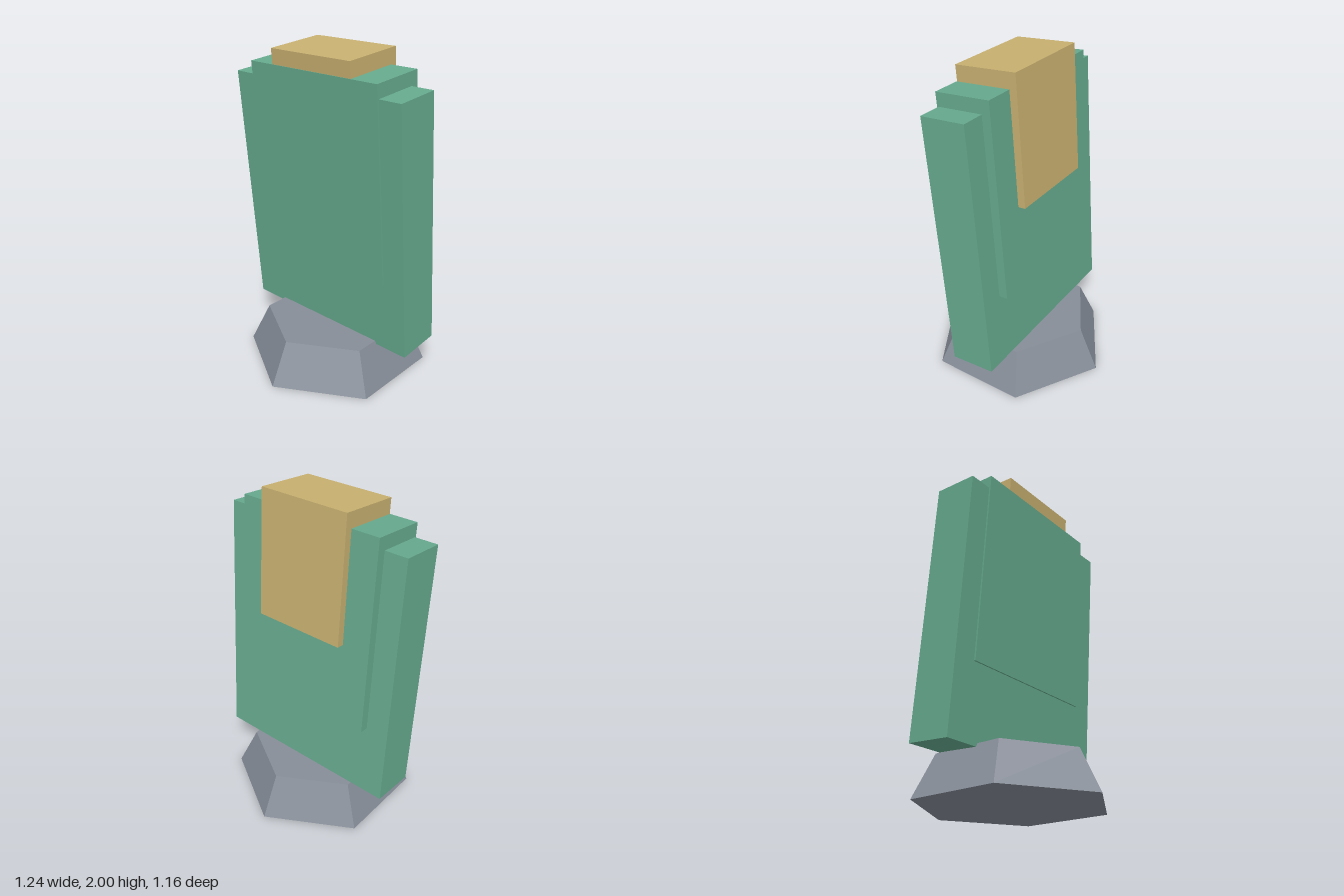
import * as THREE from 'three';

const green = new THREE.MeshStandardMaterial({ name: 'green', color: 0x66aa8e });
const gold = new THREE.MeshStandardMaterial({ name: 'gold', color: 0xc8b070 });
const grey = new THREE.MeshStandardMaterial({ name: 'grey', color: 0x868d98 });
grey.flatShading = true;

// Box given by its width and its y and z limits, centred on x
function slab(name, material, width, y0, y1, z0, z1) {
  const mesh = new THREE.Mesh(new THREE.BoxGeometry(width, y1 - y0, z1 - z0), material);
  mesh.position.set(0, (y0 + y1) / 2, (z0 + z1) / 2);
  mesh.name = name;
  return mesh;
}

export function createModel() {
  const model = new THREE.Group();
  model.name = 'model';

  // Six-sided tapered foot, with corners at the front and back
  const base = new THREE.Mesh(new THREE.CylinderGeometry(0.455, 0.58, 0.26, 6), grey);
  base.position.y = 0.13;
  base.name = 'base';
  model.add(base);

  // Nested slabs leaning forward together
  const panel = new THREE.Group();
  panel.name = 'leaningPanel';
  panel.rotation.x = THREE.MathUtils.degToRad(4.5);
  panel.add(
    slab('mainSlab', green, 1.236, 0.245, 1.807, -0.219, 0.06),
    slab('middleSlab', green, 0.946, 0.7, 1.888, -0.272, 0.07),
    slab('topBlock', gold, 0.59, 1.209, 1.981, -0.317, 0.067)
  );
  model.add(panel);
  return model;
}
